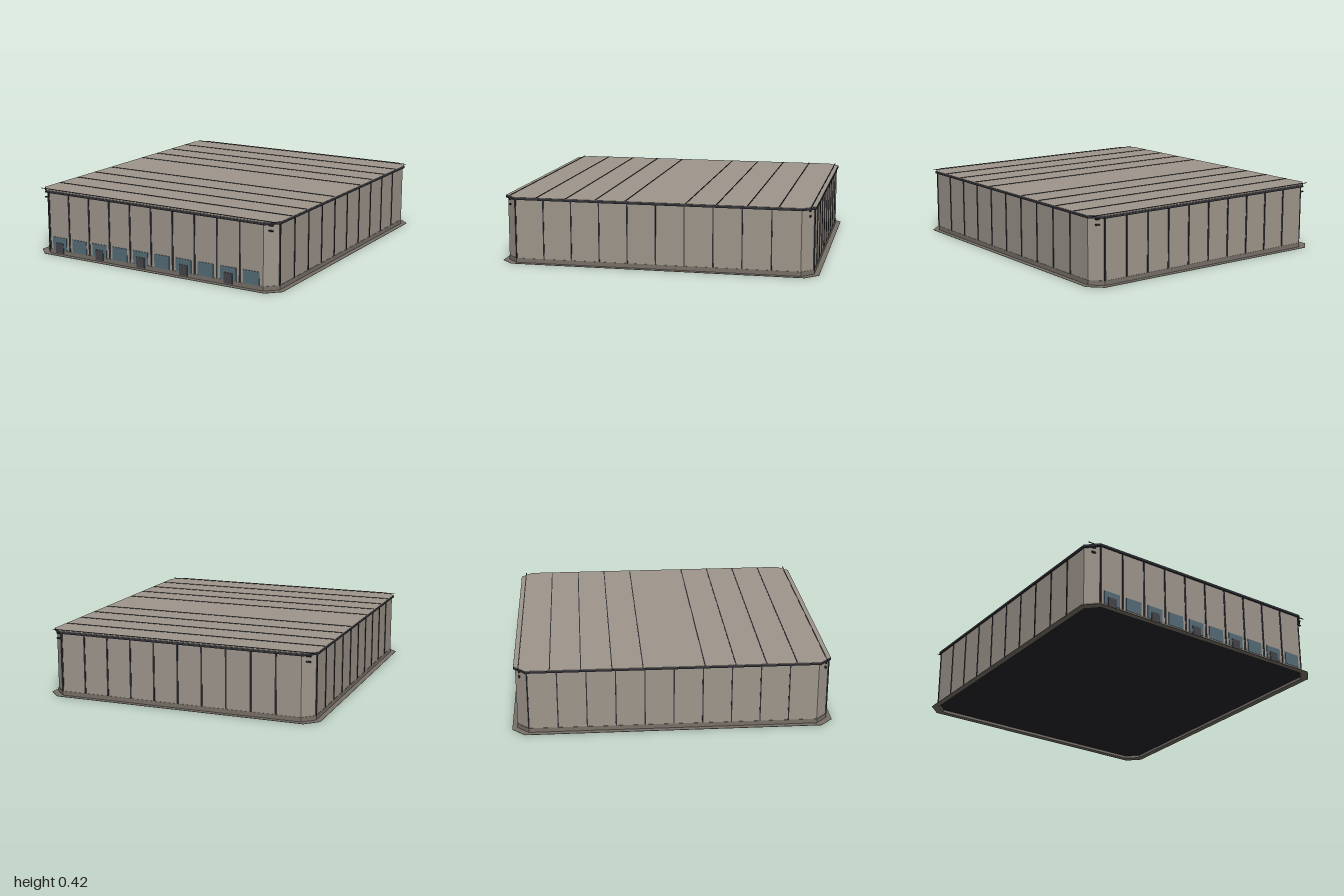
import * as THREE from 'three';

const mat = (name, color) => {
  const m = new THREE.MeshStandardMaterial({ color });
  m.name = name;
  return m;
};

// Rectangle with cut corners, half sizes w and d
function octagon(w, d, cut, Type = THREE.Shape) {
  return new Type([
    [w - cut, -d], [w, -d + cut], [w, d - cut], [w - cut, d],
    [-w + cut, d], [-w, d - cut], [-w, -d + cut], [-w + cut, -d],
  ].map(([x, y]) => new THREE.Vector2(x, y)));
}

export function createModel() {
  const wall = mat('warm grey cladding', 0x9e968c);
  const stone = mat('dark grey base', 0x777068);
  const dark = mat('dark trim', 0x303138);
  const floorMat = mat('black floor', 0x26262a);
  const glass = mat('blue glass', 0x546c76);
  const doorMat = mat('dock door', 0x454449);

  const model = new THREE.Group();
  model.name = 'warehouse';
  const add = (name, geometry, material, parent = model) => {
    const mesh = new THREE.Mesh(geometry, material);
    mesh.name = name;
    parent.add(mesh);
    return mesh;
  };
  const box = (name, size, pos, material, parent) => {
    const mesh = add(name, new THREE.BoxGeometry(...size), material, parent);
    mesh.position.set(...pos);
    return mesh;
  };
  const slab = (name, shape, y0, y1, material) => {
    const g = new THREE.ExtrudeGeometry(shape, { depth: y1 - y0, bevelEnabled: false });
    g.rotateX(-Math.PI / 2);
    add(name, g, material).position.y = y0;
  };

  const W = 0.862, D = 0.966, CUT = 0.072;

  // Shell and recessed floor
  slab('walls', octagon(W, D, CUT), 0.025, 0.404, wall);
  slab('floor', octagon(W - 0.006, D - 0.006, CUT), 0.017, 0.024, floorMat);

  // Plinth ring
  const ring = octagon(W + 0.002, D + 0.002, CUT);
  ring.holes.push(octagon(W - 0.005, D - 0.005, CUT, THREE.Path));
  slab('plinth', ring, 0, 0.03, stone);

  // Flat apron around the foot
  const apron = octagon(0.896, 1, 0.08);
  apron.holes.push(octagon(W, D, CUT, THREE.Path));
  slab('apron', apron, 0, 0.002, stone);

  // Roof with dark eave and seams
  slab('eave', octagon(0.873, 0.977, 0.073), 0.403, 0.416, dark);
  slab('roof', octagon(0.872, 0.976, 0.073), 0.416, 0.419, wall);
  const seams = new THREE.Group();
  seams.name = 'roofSeams';
  model.add(seams);
  for (let k = -5; k <= 5; k++) {
    if (k !== 0) box('roofSeam', [1.73, 0.003, 0.006], [0, 0.42, k * 0.1892], dark, seams);
  }

  // Panel joints: ten per wall, starting at the wall's left end
  const sides = [
    { name: 'front', angle: 0, half: W - CUT, dist: D, width: 0.01 },
    { name: 'left', angle: Math.PI / 2, half: D - CUT, dist: W, width: 0.007 },
    { name: 'back', angle: Math.PI, half: W - CUT, dist: D, width: 0.01 },
    { name: 'right', angle: -Math.PI / 2, half: D - CUT, dist: W, width: 0.007 },
  ];
  for (const { name, angle, half, dist, width } of sides) {
    const joints = new THREE.Group();
    joints.name = name + 'PanelJoints';
    joints.rotation.y = angle;
    model.add(joints);
    for (let k = 0; k < 10; k++) {
      box('panelJoint', [width, 0.374, 0.008], [-half + k * half / 5, 0.217, dist], dark, joints);
    }
  }

  // Windows in every front bay, dock doors in every second one
  for (let k = 0; k < 10; k++) {
    const x = -0.711 + k * 0.158;
    box('window', [0.11, 0.085, 0.006], [x, 0.0725, D + 0.001], glass);
    if (k % 2 === 0) box('dockDoor', [0.06, 0.068, 0.008], [x, 0.044, D + 0.004], doorMat);
  }

  // Small lamps with brackets on the cut corners
  for (const sx of [-1, 1]) {
    for (const sz of [-1, 1]) {
      for (const y of [0.365, 0.398]) {
        box('cornerLamp', [0.028, 0.008, 0.01], [sx * 0.825, y, sz * 0.941], dark);
      }
    }
  }
  return model;
}
